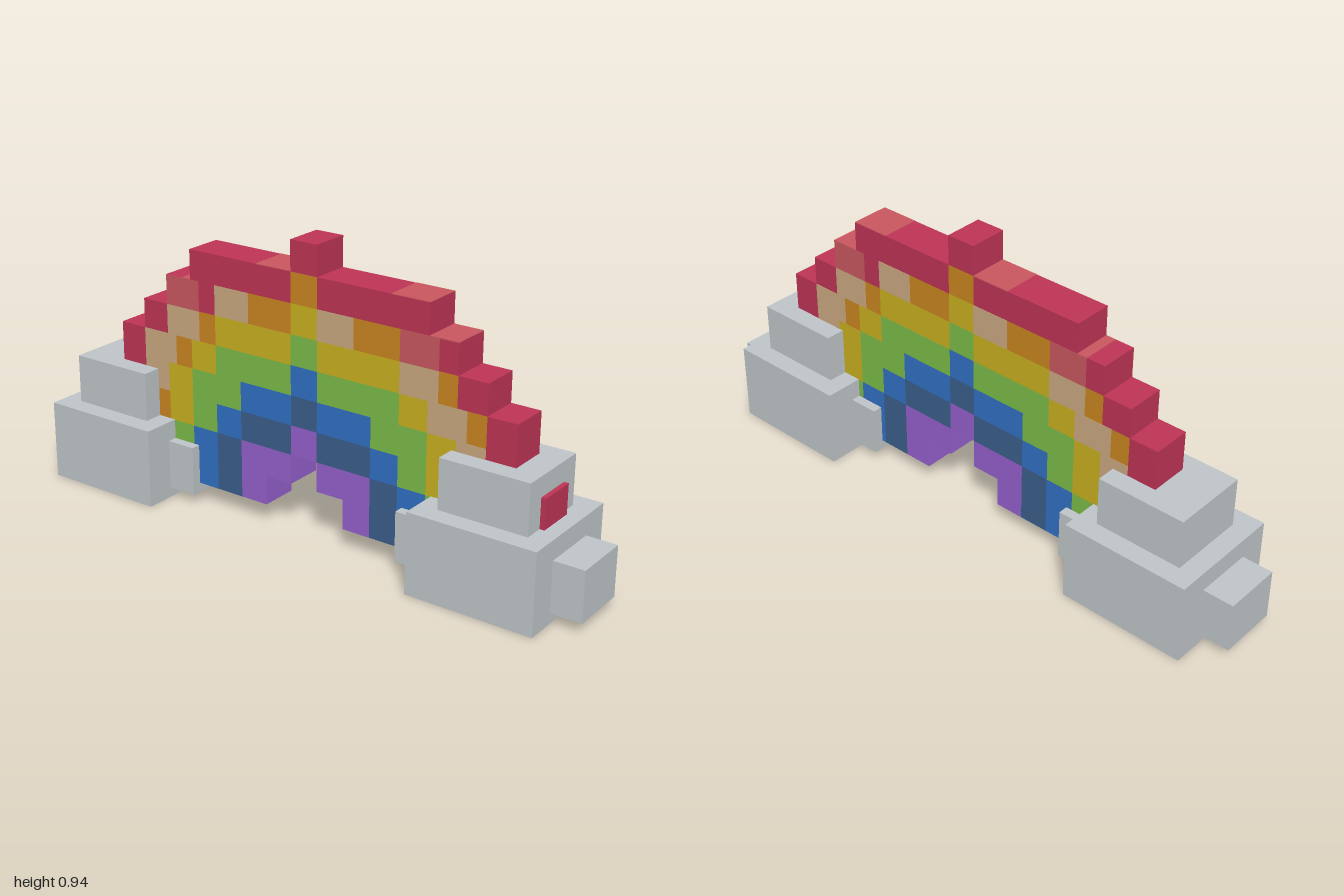
import * as THREE from 'three';

const S = 0.0968;      // block size
const DEPTH = 0.128;   // arch thickness
const BASE_Y = 0.065;  // underside of the lowest blocks
const LIGHT = 0.13;    // length of a pale patch

function mat(name, color) {
  const m = new THREE.MeshStandardMaterial({ color });
  m.name = name;
  return m;
}

function box(parent, name, material, x0, x1, y0, y1, z0, z1) {
  const mesh = new THREE.Mesh(new THREE.BoxGeometry(x1 - x0, y1 - y0, z1 - z0), material);
  mesh.position.set((x0 + x1) / 2, (y0 + y1) / 2, (z0 + z1) / 2);
  mesh.name = name;
  parent.add(mesh);
  return mesh;
}

export function createModel() {
  const mats = {
    red: mat('red', 0xbe3455),
    lightRed: mat('lightRed', 0xc9575f),
    orange: mat('orange', 0xcb8621),
    tan: mat('tan', 0xcaa980),
    yellow: mat('yellow', 0xc8b020),
    green: mat('green', 0x7bbb48),
    blue: mat('blue', 0x3070c4),
    navy: mat('navy', 0x3b5f8c),
    purple: mat('purple', 0x9460cc),
    cloud: mat('cloudGrey', 0xbfc5c9),
  };
  const model = new THREE.Group();
  model.name = 'rainbowWithClouds';

  // Stepped arch: runs of blocks [row, first column, last column], mirrored about column 0
  const bands = {
    red: [[9, 0, 0], [8, 1, 4], [7, 4, 5], [6, 6, 6], [5, 7, 7], [4, 7, 7], [3, 8, 8]],
    orange: [[8, 0, 0], [7, 1, 3], [6, 4, 5], [5, 5, 6], [4, 6, 6], [3, 6, 7]],
    yellow: [[7, 0, 0], [6, 1, 3], [5, 4, 4], [4, 5, 5], [3, 5, 5]],
    green: [[6, 0, 0], [5, 1, 3], [4, 3, 4], [3, 4, 4], [2, 5, 5]],
    blue: [[5, 0, 0], [4, 1, 2], [3, 3, 3], [2, 4, 4], [1, 4, 4]],
    navy: [[4, 0, 0], [3, 1, 2], [2, 3, 3], [1, 3, 3]],
    purple: [[3, 0, 0], [2, 1, 2], [1, 2, 2]],
  };
  const arch = new THREE.Group();
  arch.name = 'arch';
  arch.position.x = 0.0305;
  model.add(arch);
  const rowY = (r) => BASE_Y + (r - 1) * S;
  for (const [color, runs] of Object.entries(bands)) {
    const band = new THREE.Group();
    band.name = color + 'Band';
    arch.add(band);
    for (const [r, a, b] of runs) {
      for (const [c0, c1] of a === 0 ? [[0, 0]] : [[a, b], [-b, -a]]) {
        box(band, color + 'Block', mats[color], (c0 - 0.5) * S, (c1 + 0.5) * S,
          rowY(r), rowY(r + 1), -DEPTH / 2, DEPTH / 2);
      }
    }
  }

  // Pale patches at the viewer's left end of some runs, same on front and back
  const patches = [['lightRed', 7, 4, 5], ['tan', 7, 1, 3], ['tan', 6, 4, 5], ['tan', 5, 5, 6], ['tan', 4, 6, 6]];
  for (const side of ['front', 'back']) {
    const face = new THREE.Group();
    face.name = side + 'Patches';
    if (side === 'back') face.rotation.y = Math.PI;
    arch.add(face);
    for (const [color, r, a, b] of patches) {
      const len = Math.min(LIGHT, (b - a + 1) * S);
      for (const start of [a, -b]) {
        const x = (start - 0.5) * S;
        box(face, 'palePatch', mats[color], x, x + len, rowY(r), rowY(r + 1), DEPTH / 2 - 0.002, DEPTH / 2 + 0.001);
      }
    }
  }

  // Pale patches on the top steps
  for (const [r, x0, x1] of [[8, 4.5 * S - LIGHT, 4.5 * S], [8, -0.5 * S - LIGHT, -0.5 * S],
    [7, 4.5 * S, 5.5 * S], [7, -4.85 * S, -4.5 * S]]) {
    box(arch, 'topPatch', mats.lightRed, x0, x1, rowY(r + 1) - 0.002, rowY(r + 1) + 0.001, -DEPTH / 2, DEPTH / 2);
  }

  // Blocky cloud at each foot
  for (const s of [-1, 1]) {
    const cloud = new THREE.Group();
    cloud.name = s > 0 ? 'leftCloud' : 'rightCloud';
    cloud.position.x = s * 0.693;
    model.add(cloud);
    box(cloud, 'cloudBody', mats.cloud, -0.208, 0.208, 0, 0.26, -0.192, 0.192);
    box(cloud, 'cloudTop', mats.cloud, -0.145, 0.145, 0.2, 0.42, -0.128, 0.128);
    box(cloud, 'cloudSides', mats.cloud, -0.307, 0.307, 0.034, 0.196, -0.096, 0.096);
  }
  return model;
}
